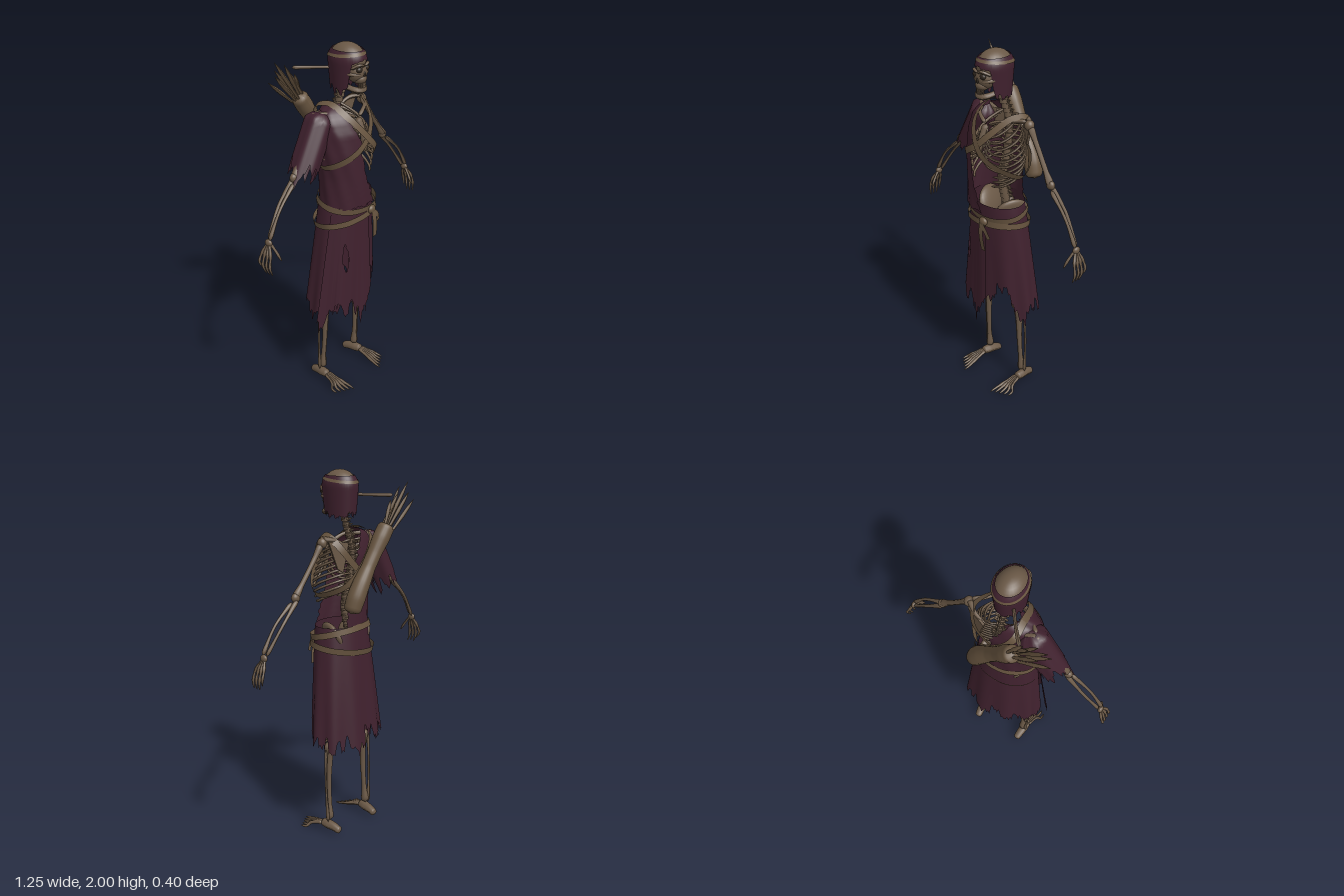
import * as THREE from 'three';

const mat = (name, color, double) => {
  const m = new THREE.MeshStandardMaterial({ color });
  m.name = name;
  if (double) m.side = THREE.DoubleSide;
  return m;
};
const V = (a) => new THREE.Vector3(...a);
const rnd = (i) => { const s = Math.sin(i * 127.1 + 11.7) * 43758.5453; return s - Math.floor(s); };
const lerp = THREE.MathUtils.lerp;
// piecewise linear lookup in rows [key, value, value, ...]
const look = (rows, k, c = 1) => {
  if (k <= rows[0][0]) return rows[0][c];
  for (let i = 1; i < rows.length; i++) {
    const [p, q] = [rows[i - 1], rows[i]];
    if (k <= q[0]) return lerp(p[c], q[c], (k - p[0]) / (q[0] - p[0]));
  }
  return rows[rows.length - 1][c];
};
// torn edge: random value per strip of cloth, mixed with a finer one
const tear = (i, seed) => 0.6 * rnd(Math.floor(i / 3) + seed) + 0.4 * rnd(i + seed * 7);

export function createModel() {
  const root = new THREE.Group();
  const bone = mat('bone', 0x6a5846);
  const cloth = mat('plum cloth', 0x40212e, true);
  const leather = mat('worn leather', 0x67543f, true);
  const dark = mat('dark hollow', 0x30271f);

  const add = (name, geo, m, parent = root) => {
    const mesh = new THREE.Mesh(geo, m);
    mesh.name = name;
    parent.add(mesh);
    return mesh;
  };
  const group = (name) => { const g = new THREE.Group(); g.name = name; root.add(g); return g; };
  const ball = (name, p, r, m = bone, parent = root) => {
    const b = add(name, new THREE.SphereGeometry(1, 24, 16), m, parent);
    b.position.set(...p);
    b.scale.set(...r);
    return b;
  };
  // tube with changing radius and rounded ends
  const rod = (name, pts, radii, parent = root, m = bone, n = 20, sides = 8) => {
    const curve = new THREE.CatmullRomCurve3(pts.map(V));
    const geo = new THREE.TubeGeometry(curve, n, 1, sides);
    const pos = geo.attributes.position, v = new THREE.Vector3();
    for (let i = 0; i <= n; i++) {
      const t = i / n, c = curve.getPointAt(t);
      const k = t * (radii.length - 1), j = Math.min(Math.floor(k), radii.length - 2);
      const r = lerp(radii[j], radii[j + 1], k - j);
      const e = Math.sqrt(Math.min(1, t * n * 0.7, (1 - t) * n * 0.7));
      for (let q = 0; q <= sides; q++) {
        const id = i * (sides + 1) + q;
        v.fromBufferAttribute(pos, id).sub(c).multiplyScalar(r * e).add(c);
        pos.setXYZ(id, v.x, v.y, v.z);
      }
    }
    geo.computeVertexNormals();
    return add(name, geo, m, parent);
  };
  // sheet from a grid rule f(column, u, v), leaving out cells where hole(x, y, z) is true
  const sheet = (name, nu, nv, f, m = cloth, parent = root, hole = () => false) => {
    const p = [], idx = [];
    for (let i = 0; i <= nu; i++) for (let j = 0; j <= nv; j++) {
      const q = f(i, i / nu, j / nv);
      p.push(...q);
      if (i < nu && j < nv && !hole(...q)) {
        const a = i * (nv + 1) + j, b = a + nv + 1;
        idx.push(a, a + 1, b, b, a + 1, b + 1);
      }
    }
    const geo = new THREE.BufferGeometry();
    geo.setAttribute('position', new THREE.Float32BufferAttribute(p, 3));
    geo.setIndex(idx);
    geo.computeVertexNormals();
    return add(name, geo, m, parent);
  };
  // flat strap following a path and facing away from a centre
  const strap = (name, pts, width, centre, closed = true) => {
    const curve = new THREE.CatmullRomCurve3(pts.map(V), closed), c = V(centre);
    return sheet(name, 64, 2, (i, u, v) => {
      const p = curve.getPoint(u), side = curve.getTangent(u).cross(p.clone().sub(c)).normalize();
      return p.addScaledVector(side, (v - 0.5) * width).toArray();
    }, leather);
  };

  // skull
  const head = group('skull');
  ball('cranium', [0, 1.915, 0.045], [0.078, 0.085, 0.1], bone, head);
  ball('face', [0, 1.868, 0.105], [0.058, 0.06, 0.05], bone, head);
  ball('upperJaw', [0, 1.832, 0.122], [0.036, 0.028, 0.036], bone, head);
  ball('nose', [0, 1.86, 0.15], [0.009, 0.015, 0.009], dark, head);
  rod('mandible', [[0.056, 1.86, 0.05], [0.05, 1.8, 0.07], [0.024, 1.778, 0.133], [-0.024, 1.778, 0.133],
    [-0.05, 1.8, 0.07], [-0.056, 1.86, 0.05]], [0.009, 0.014, 0.017, 0.014, 0.009], head, bone, 32);
  for (let i = -3; i <= 3; i++) for (const y of [1.809, 1.796]) {
    add('tooth', new THREE.BoxGeometry(0.007, 0.012, 0.006), bone, head).position.set(i * 0.008, y, 0.15 - i * i * 0.0015);
  }
  for (const s of [1, -1]) {
    ball('eyeSocket', [s * 0.028, 1.884, 0.141], [0.018, 0.015, 0.013], dark, head);
    rod('cheekbone', [[s * 0.02, 1.858, 0.148], [s * 0.05, 1.86, 0.125], [s * 0.068, 1.868, 0.05]], [0.007, 0.01, 0.007], head);
    rod('brow', [[s * 0.004, 1.9, 0.152], [s * 0.03, 1.908, 0.148], [s * 0.06, 1.89, 0.115]], [0.007, 0.009, 0.007], head);
  }
  // torn headwrap, open over the face
  const wrapHem = [[0, 1.93], [0.8, 1.915], [1.0, 1.81], [1.4, 1.775], [2.2, 1.79], [3.15, 1.775]];
  sheet('headwrap', 90, 14, (i, u, v) => {
    const a = u * Math.PI * 2, b = Math.min(a, Math.PI * 2 - a);
    const y = lerp(1.97, look(wrapHem, b) - (b > 0.85 ? 0.07 : 0.012) * (tear(i % 90, 3) - 0.35), v);
    const f = y > 1.915 ? Math.sqrt(1 - ((y - 1.915) / 0.09) ** 2) : 1 - (1.915 - y) * 0.8;
    return [Math.sin(a) * 0.084 * f, y, 0.045 + Math.cos(a) * 0.106 * f];
  }, cloth, head);
  const headStrap = [];
  for (let i = 0; i < 16; i++) {
    const a = i * Math.PI / 8, y = 1.948 + 0.01 * Math.cos(a), f = Math.sqrt(1 - ((y - 1.915) / 0.09) ** 2);
    headStrap.push([Math.sin(a) * 0.087 * f, y, 0.045 + Math.cos(a) * 0.109 * f]);
  }
  head.add(strap('headStrap', headStrap, 0.016, [0, 1.9, 0.045]));
  rod('pin', [[-0.05, 1.872, -0.02], [-0.11, 1.87, -0.1], [-0.17, 1.87, -0.17]], [0.008, 0.008, 0.011], head);
  head.position.x = -0.008;

  // spine
  const spine = group('spine');
  const spineCurve = new THREE.CatmullRomCurve3([[0, 1.13, -0.03], [0, 1.3, 0.005], [0, 1.45, -0.03],
    [0, 1.6, -0.045], [0, 1.72, -0.005], [-0.005, 1.83, 0.035]].map(V));
  for (let i = 0; i < 26; i++) {
    const t = i / 25, p = spineCurve.getPointAt(t), w = lerp(1.15, 0.85, t);
    const g = new THREE.Group();
    g.name = 'vertebra';
    g.position.copy(p);
    g.scale.setScalar(w);
    add('body', new THREE.CylinderGeometry(0.022, 0.022, 0.026, 12), bone, g);
    add('sideProcess', new THREE.BoxGeometry(0.075, 0.008, 0.01), bone, g).position.z = -0.012;
    const spur = add('spur', new THREE.ConeGeometry(0.008, 0.045, 6), bone, g);
    spur.position.set(0, -0.006, -0.035);
    spur.rotation.x = -1.9;
    spine.add(g);
  }

  // rib cage and shoulders
  const cage = group('ribCage');
  rod('sternum', [[0, 1.625, 0.105], [0, 1.55, 0.14], [0, 1.45, 0.16]], [0.02, 0.016, 0.018, 0.008], cage);
  const ribW = [0.08, 0.11, 0.135, 0.15, 0.163, 0.17, 0.17, 0.165, 0.155, 0.14];
  for (const s of [1, -1]) {
    ribW.forEach((w, i) => {
      const y = 1.645 - i * 0.029, pts = [[s * 0.01, y, -0.045], [s * w * 0.6, y + 0.004, -0.06],
        [s * w, y - 0.035, 0.02], [s * w * 0.8, y - 0.07, 0.1]];
      if (i < 7) pts.push([s * w * 0.4, y - 0.075 + i * 0.004, 0.118 + i * 0.005], [s * 0.012, 1.61 - i * 0.024, 0.112 + i * 0.007]);
      else pts.push([s * w * 0.5, y - 0.075, 0.135]);
      rod('rib', pts, [0.006, 0.0075, 0.0065], cage, bone, 32, 6);
    });
    rod('clavicle', [[s * 0.015, 1.625, 0.105], [s * 0.08, 1.655, 0.085], [s * 0.135, 1.66, 0.03], [s * 0.18, 1.665, -0.005]],
      [0.012, 0.009, 0.013], cage);
    const inset = s > 0 ? 0 : 0.025;
    const blade = new THREE.Shape([[0.06, 0.07], [-0.05, 0.06], [-0.02, -0.09], [0.01, -0.07]].map((p) => new THREE.Vector2(s * p[0], p[1])));
    const sc = add('shoulderBlade', new THREE.ExtrudeGeometry(blade, { depth: 0.008, bevelSize: 0.003, bevelThickness: 0.003 }), bone, cage);
    sc.position.set(s * (0.115 - inset), 1.58, -0.068 + inset);
    sc.rotation.y = -s * 0.35;
    rod('bladeSpine', [[s * 0.06, 1.62, -0.07 + inset], [s * 0.13, 1.655, -0.055 + inset], [s * 0.185, 1.665, -0.015]], [0.007, 0.01, 0.016], cage);
  }

  // pelvis
  for (const s of [1, -1]) {
    const wing = ball('hipBone', [s * 0.085, 1.13, 0.015], [0.03, 0.085, 0.095]);
    wing.rotation.set(0.1, s * -0.35, s * -0.35);
  }
  ball('sacrum', [0, 1.12, -0.04], [0.05, 0.06, 0.03]);

  // arms and legs
  for (const s of [1, -1]) {
    const arm = group(s > 0 ? 'leftArm' : 'rightArm');
    const P = (...l) => l.map(([x, y, z]) => [s * x, y, z]);
    ball('shoulderJoint', [s * 0.188, 1.645, -0.015], [0.026, 0.028, 0.026], bone, arm);
    rod('upperArm', P([0.188, 1.65, -0.015], [0.28, 1.515, -0.01], [0.375, 1.38, 0]), [0.022, 0.014, 0.013, 0.014, 0.024], arm);
    ball('elbow', [s * 0.367, 1.39, -0.003], [0.025, 0.025, 0.02], bone, arm);
    rod('ulna', P([0.36, 1.385, -0.012], [0.47, 1.27, -0.018], [0.57, 1.125, 0]), [0.015, 0.009, 0.008, 0.011], arm);
    rod('radius', P([0.38, 1.37, 0.008], [0.495, 1.265, 0.014], [0.58, 1.13, 0.016]), [0.013, 0.008, 0.008, 0.013], arm);
    ball('wrist', [s * 0.578, 1.118, 0.008], [0.014, 0.02, 0.022], bone, arm);
    for (let j = 0; j < 4; j++) {
      const z = -0.018 + j * 0.02, drop = j === 0 ? 0.025 : 0;
      rod('finger', P([0.578, 1.115, 0.002 + j * 0.004], [0.604, 1.06, z], [0.618, 1.005 + drop / 2, z * 1.15],
        [0.606, 0.957 + drop, z + 0.012]), [0.007, 0.007, 0.009, 0.006, 0.008, 0.005, 0.003], arm);
    }
    rod('thumb', P([0.575, 1.115, 0.018], [0.568, 1.075, 0.048], [0.56, 1.03, 0.075]), [0.008, 0.007, 0.008, 0.003], arm);

    const leg = group(s > 0 ? 'leftLeg' : 'rightLeg');
    rod('thighBone', P([0.1, 1.06, 0], [0.13, 1.0, 0.005], [0.138, 0.75, 0.01], [0.135, 0.55, -0.005]), [0.032, 0.024, 0.021, 0.024, 0.042], leg, bone, 28, 12);
    ball('kneecap', [s * 0.135, 0.56, 0.024], [0.025, 0.03, 0.018], bone, leg);
    rod('shin', P([0.135, 0.545, -0.008], [0.14, 0.33, -0.006], [0.148, 0.075, -0.02]), [0.037, 0.021, 0.016, 0.014, 0.014, 0.026], leg, bone, 28, 12);
    rod('calfBone', P([0.172, 0.51, -0.015], [0.178, 0.3, -0.02], [0.168, 0.07, -0.025]), [0.01, 0.006, 0.006, 0.012], leg);
    rod('heel', P([0.145, 0.03, -0.1], [0.15, 0.045, -0.05], [0.158, 0.052, 0.03]), [0.02, 0.024, 0.027, 0.022], leg, bone, 20, 12);
    for (let j = 0; j < 5; j++) {
      const d = j - 2, end = 0.2 - j * 0.014;
      rod('toe', P([0.157 + d * 0.006, 0.052, 0.02], [0.165 + d * 0.014, 0.034, 0.09], [0.17 + d * 0.021, 0.016, end - 0.04],
        [0.172 + d * 0.023, 0.008, end]), [0.012, 0.009, 0.008, 0.01, 0.008, 0.007, 0.003], leg);
    }
  }

  // torn skirt with a slit over the right thigh; angle 0 is the front, quarter turn is the left
  const skirt = (a, y, k = 1) => {
    const t = Math.max(0, (1.19 - y) / 0.65), fold = 1 + 0.035 * Math.min(t, 1) * Math.sin(a * 9 + 1);
    return [Math.sin(a) * (0.16 + 0.072 * t ** 0.85) * k * fold, y, 0.03 - 0.04 * t + Math.cos(a) * (0.122 + 0.03 * t) * k * fold];
  };
  const slit = (x, y, z) => z > 0 && Math.abs(x + 0.13) < 0.02 * (1 - Math.abs(y - 0.87) / 0.09);
  const skirtHem = [[0, 0.56], [25, 0.68], [42, 0.76], [58, 0.6], [75, 0.5], [90, 0.57], [120, 0.53], [140, 0.6], [160, 0.52],
    [180, 0.6], [215, 0.58], [245, 0.54], [270, 0.48], [300, 0.56], [330, 0.62], [348, 0.54], [360, 0.56]];
  sheet('skirt', 150, 30, (i, u, v) => skirt(u * Math.PI * 2,
    lerp(1.19, look(skirtHem, u * 360) - 0.17 * (tear(i % 150, 5) - 0.45), v)), cloth, root,
  (x, y, z) => z > 0 && Math.abs(x + 0.13) < 0.03 && Math.abs(y - 0.87) < 0.1);
  const panelHem = [[0, 0.47], [0.1, 0.46], [0.2, 0.58], [0.35, 0.6], [0.5, 0.52], [0.6, 0.57], [0.78, 0.46], [0.9, 0.56], [1, 0.66]];
  sheet('frontPanel', 60, 40, (i, u, v) => skirt(lerp(-1.25, 0.22, u),
    lerp(1.17, look(panelHem, u) - 0.12 * (tear(i, 9) - 0.45), v), 1.03 + 0.15 * v), cloth, root, slit);

  // torn shirt over the right half: height, width, depth, centre z, front edge, back edge
  const shirt = [[1.17, 0.172, 0.14, 0.045, 0.27, -3.6], [1.24, 0.171, 0.139, 0.045, 0.04, -3.55], [1.32, 0.17, 0.138, 0.045, -0.13, -3.5],
    [1.45, 0.18, 0.136, 0.042, -0.25, -3.3], [1.56, 0.186, 0.13, 0.03, -0.3, -3.2], [1.63, 0.18, 0.105, 0.02, -0.45, -3.1],
    [1.675, 0.15, 0.08, 0.008, -0.65, -2.9], [1.698, 0.08, 0.06, 0, -0.8, -2.5]];
  sheet('shirt', 60, 30, (i, u, v) => {
    const y = lerp(1.698, 1.17 - 0.02 * tear(i, 2), v), j = Math.round(v * 30), c = (k) => look(shirt, y, k);
    const a = lerp(c(4) + 0.16 * (tear(j, 21) - 0.5), c(5) + 0.25 * (tear(j, 33) - 0.5), u);
    const f = 1 + 0.012 * Math.sin(a * 11 + y * 20);
    return [Math.sin(a) * c(1) * f, y, c(3) + Math.cos(a) * c(2) * f];
  });
  sheet('sleeve', 60, 16, (i, u, v) => {
    const a = u * Math.PI * 2, len = v * (0.3 + 0.2 * (tear(i % 60, 13) - 0.4));
    const r = 0.074 * Math.sqrt(Math.min(1, len / 0.05)) * (1 + 0.04 * Math.sin(a * 6));
    const q = Math.cos(a) * r;
    return [-0.135 - 0.49 * len - 0.87 * q, 1.67 - 0.87 * len + 0.49 * q, -0.01 + Math.sin(a) * r];
  });

  // belts, knot and chest straps
  const belt = (fy) => Array.from({ length: 20 }, (_, i) => {
    const a = i * Math.PI / 10;
    return skirt(a, fy(a), 1.09 + 0.08 * Math.max(0, Math.cos(a)));
  });
  strap('upperBelt', belt((a) => 1.155 - 0.03 * Math.cos(a) - 0.012 * Math.sin(a)), 0.034, [0, 1.15, 0.03]);
  strap('lowerBelt', belt((a) => 1.07 + 0.02 * Math.sin(a) + 0.02 * Math.cos(a)), 0.034, [0, 1.08, 0.03]);
  ball('knot', [0.045, 1.105, 0.17], [0.028, 0.024, 0.018], leather);
  strap('beltEnd', [[0.045, 1.1, 0.185], [0.05, 1.03, 0.192], [0.06, 0.94, 0.185]], 0.034, [0.05, 1.03, 0], false);
  strap('beltTail', [[0.04, 1.1, 0.185], [0.075, 1.07, 0.187], [0.1, 1.02, 0.178]], 0.026, [0.05, 1.05, 0], false);
  strap('chestStrap', [[0.15, 1.675, -0.03], [0.125, 1.675, 0.045], [0.07, 1.6, 0.137], [0, 1.525, 0.172], [-0.09, 1.465, 0.168],
    [-0.165, 1.415, 0.11], [-0.19, 1.39, 0.03], [-0.1, 1.42, -0.095], [0.02, 1.5, -0.108], [0.12, 1.61, -0.09]], 0.036, [0, 1.5, 0.04]);
  strap('quiverStrap', [[-0.1, 1.7, 0.01], [-0.08, 1.64, 0.115], [0, 1.53, 0.176], [0.07, 1.46, 0.168], [0.15, 1.4, 0.1],
    [0.182, 1.37, 0.02], [0.1, 1.42, -0.1], [-0.03, 1.55, -0.115], [-0.1, 1.67, -0.085]], 0.036, [0, 1.5, 0.04]);

  // quiver with a fan of arrows
  const quiver = group('quiver');
  rod('case', [[0.1, 1.28, -0.135], [0.065, 1.38, -0.145], [-0.05, 1.57, -0.152], [-0.15, 1.725, -0.16]],
    [0.044, 0.05, 0.046, 0.038, 0.039, 0.046, 0.044], quiver, leather, 40, 20);
  const tips = [[-0.345, 1.835, -0.175], [-0.33, 1.87, -0.145], [-0.315, 1.935, -0.16], [-0.285, 1.88, -0.19], [-0.26, 1.91, -0.145],
    [-0.225, 1.88, -0.17], [-0.185, 1.845, -0.15]];
  tips.forEach((t, i) => {
    const k = (i - 3) * 0.011;
    const from = [-0.14 + 0.83 * k, 1.7 + 0.56 * k, -0.16 + 0.014 * ((i % 3) - 1)];
    rod('arrow', [from, from.map((f, q) => (f + t[q]) / 2), t], [0.007, 0.008, 0.011, 0.009, 0.001], quiver, leather, 20, 6);
  });
  return root;
}
